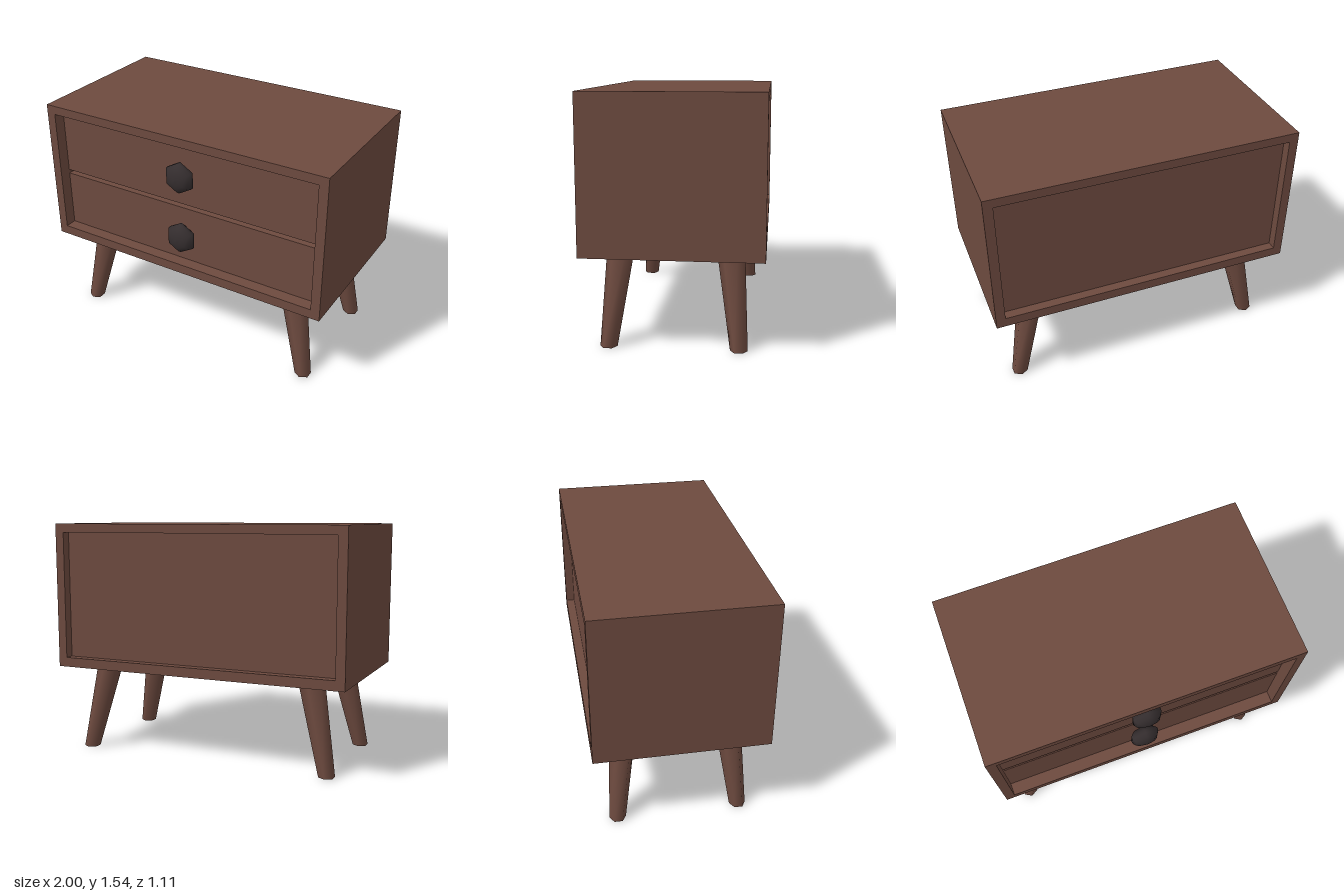
import * as THREE from 'three';

export function createModel() {
  const wood = new THREE.MeshStandardMaterial({ color: 0x6d4a3f });
  wood.name = 'brownWood';
  const dark = new THREE.MeshStandardMaterial({ color: 0x352e2f });
  dark.name = 'darkKnob';
  const group = new THREE.Group();

  const add = (name, geometry, material, x = 0, y = 0, z = 0) => {
    const mesh = new THREE.Mesh(geometry, material);
    mesh.name = name;
    mesh.position.set(x, y, z);
    group.add(mesh);
    return mesh;
  };
  // Box given by its height range and depth range, filling the opening
  const filler = (name, y0, y1, z0, z1) =>
    add(name, new THREE.BoxGeometry(1.88, y1 - y0, z1 - z0), wood, 0, (y0 + y1) / 2, (z0 + z1) / 2);

  const back = -0.557, front = 0.533;

  // Case: a rectangular tube open at front and back
  const rect = (path, x, y0, y1) => {
    path.moveTo(-x, y0);
    path.lineTo(x, y0);
    path.lineTo(x, y1);
    path.lineTo(-x, y1);
    path.closePath();
    return path;
  };
  const outline = rect(new THREE.Shape(), 1, 0.577, 1.537);
  outline.holes.push(rect(new THREE.Path(), 0.94, 0.64, 1.48));
  add('case', new THREE.ExtrudeGeometry(outline, { depth: front - back, bevelEnabled: false }),
    wood, 0, 0, back);

  // Recessed back panel and drawers, with a gap above each drawer
  filler('backPanel', 0.64, 1.48, back + 0.06, back + 0.1);
  filler('lowerDrawer', 0.64, 1.02, back + 0.1, front - 0.08);
  filler('upperDrawer', 1.047, 1.45, back + 0.1, front - 0.08);

  // Six-sided domed knobs
  const profile = [[0.06, 0], [0.085, 0.015], [0.105, 0.035], [0.104, 0.055], [0.085, 0.08],
    [0.06, 0.094], [0.03, 0.102], [0, 0.104]].map(([r, y]) => new THREE.Vector2(r, y));
  const knob = new THREE.LatheGeometry(profile, 6).rotateX(Math.PI / 2);
  add('lowerKnob', knob, dark, 0, 0.825, front - 0.08);
  add('upperKnob', knob, dark, 0, 1.255, front - 0.08);

  // Splayed, tapered legs: the cylinder is sheared so both ends stay level
  const height = 0.58;
  for (const sx of [-1, 1]) {
    for (const sz of [-1, 1]) {
      const leg = new THREE.CylinderGeometry(0.085, 0.053, height, 6);
      const pos = leg.attributes.position;
      for (let i = 0; i < pos.count; i++) {
        const t = 0.5 - pos.getY(i) / height;
        pos.setX(i, pos.getX(i) + sx * 0.125 * t);
        pos.setZ(i, pos.getZ(i) + sz * 0.058 * t);
      }
      leg.computeVertexNormals();
      // Share normals across the seam so the side stays smooth
      const n = leg.attributes.normal;
      for (const row of [0, 7]) {
        const v = new THREE.Vector3().fromBufferAttribute(n, row)
          .add(new THREE.Vector3().fromBufferAttribute(n, row + 6)).normalize();
        n.setXYZ(row, v.x, v.y, v.z);
        n.setXYZ(row + 6, v.x, v.y, v.z);
      }
      add((sz > 0 ? 'front' : 'back') + (sx > 0 ? 'Left' : 'Right') + 'Leg', leg, wood,
        sx * 0.727, height / 2, sz > 0 ? 0.325 : -0.345);
    }
  }
  return group;
}
